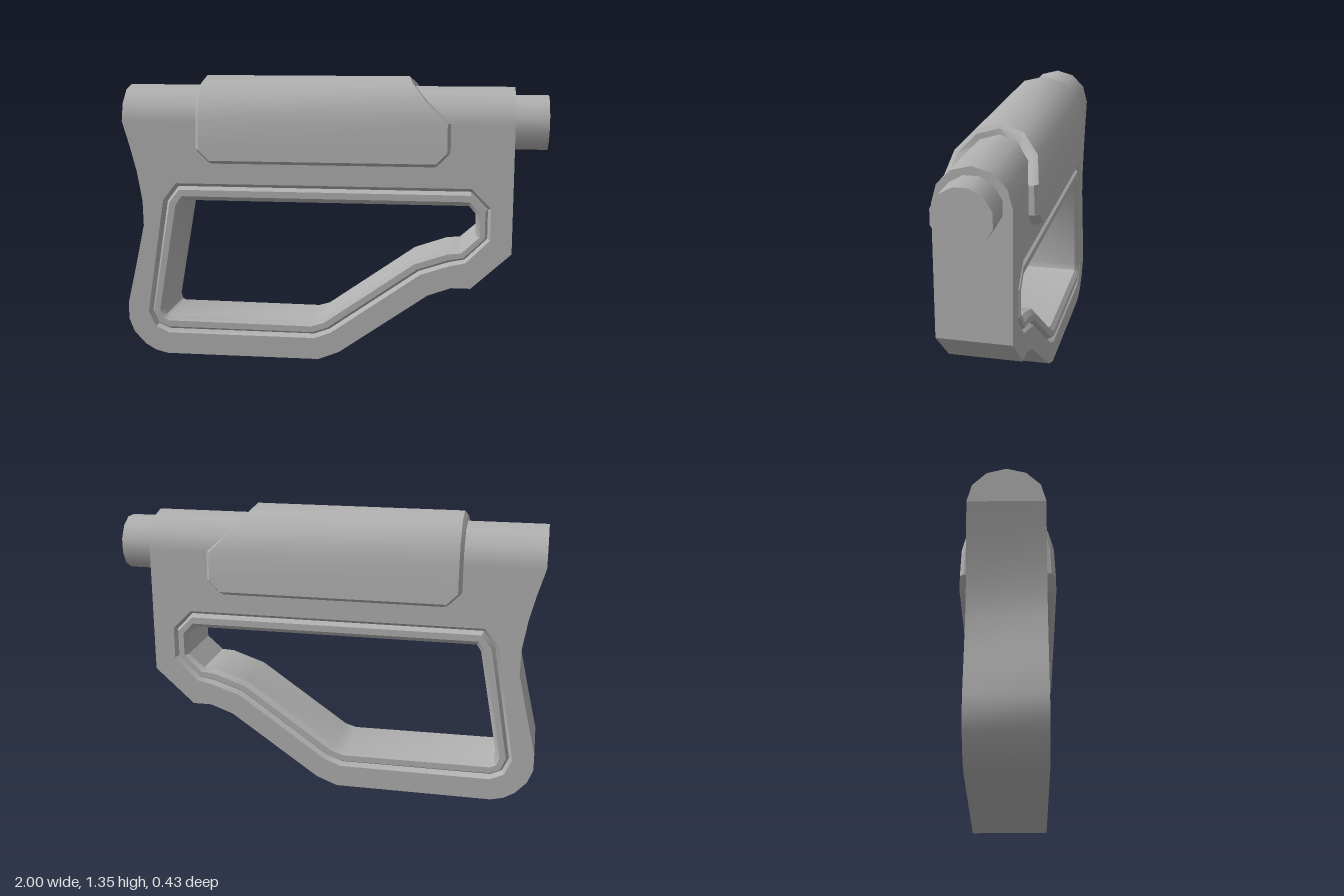
import * as THREE from 'three';
import { toCreasedNormals } from 'three/addons/utils/BufferGeometryUtils.js';

const HALF = 0.167; // half the body thickness
const AXIS = 1.14; // height of the barrel axis

// Surface through rows of [x, y, z] points; closed joins the last column to the first.
function loft(rows, closed, crease = 0.6) {
  const n = rows[0].length, index = [];
  for (let r = 0; r < rows.length - 1; r++) {
    for (let c = 0; c < (closed ? n : n - 1); c++) {
      const a = r * n + c, d = r * n + (c + 1) % n;
      index.push(a, a + n, d, a + n, d + n, d);
    }
  }
  const g = new THREE.BufferGeometry();
  g.setAttribute('position', new THREE.Float32BufferAttribute(rows.flat(2), 3));
  g.setIndex(index);
  return toCreasedNormals(g, crease);
}

const toVectors = (pts) => pts.map(([x, y]) => new THREE.Vector2(x, y));

export function createModel() {
  const group = new THREE.Group();
  const grey = new THREE.MeshStandardMaterial({ color: 0xb0b0b0 });
  grey.name = 'grey';
  const add = (name, geometry) => {
    const mesh = new THREE.Mesh(geometry, grey);
    mesh.name = name;
    group.add(mesh);
    return mesh;
  };

  // Side silhouette of the handle
  const silhouette = [
    [-1, AXIS], [-0.965, 1.02], [-0.935, 0.9], [-0.912, 0.76], [-0.91, 0.64],
    [-0.955, 0.44], [-1, 0.25], [-1, 0.17], [-0.975, 0.105], [-0.92, 0.045],
    [-0.87, 0.015], [-0.81, 0], [-0.06, 0], [0.04, 0.04], [0.46, 0.335],
    [0.57, 0.375], [0.66, 0.375], [0.845, 0.545], [0.845, AXIS],
  ];
  // Outer edge of the groove and edge of the opening, corner by corner
  const outer = [
    [-0.745, 0.848], [0.655, 0.848], [0.745, 0.757], [0.745, 0.608],
    [0.635, 0.497], [0.56, 0.48], [0.425, 0.435], [0.0, 0.135], [-0.08, 0.105],
    [-0.8, 0.105], [-0.865, 0.135], [-0.9, 0.21], [-0.81, 0.765],
  ];
  const inner = [
    [-0.71, 0.765], [0.645, 0.765], [0.68, 0.725], [0.68, 0.625],
    [0.605, 0.558], [0.545, 0.555], [0.385, 0.5], [-0.045, 0.198], [-0.1, 0.182],
    [-0.8, 0.187], [-0.815, 0.195], [-0.823, 0.225], [-0.73, 0.735],
  ];

  const shape = new THREE.Shape(toVectors(silhouette));
  shape.holes.push(new THREE.Path(toVectors(outer)));
  const body = new THREE.ExtrudeGeometry(shape, { depth: HALF * 2, bevelEnabled: false });
  body.translate(0, 0, -HALF);
  add('handleBody', toCreasedNormals(body, 0.5));

  // Grooved rim that lines the opening: [step from outer to inner, z]
  const front = [[0, HALF], [0.2, 0.142], [0.38, HALF], [0.75, HALF], [1, 0.147]];
  const back = front.map(([t, z]) => [t, -z]).reverse();
  const rim = [...front, ...back].map(([t, z]) => outer.map(([x, y], i) => [
    x + (inner[i][0] - x) * t, y + (inner[i][1] - y) * t, z,
  ]));
  add('openingRim', loft(rim, true));

  // Rounded top of the body
  const cap = new THREE.CylinderGeometry(HALF, HALF, 1.845, 6, 1, false, Math.PI, Math.PI);
  cap.rotateZ(-Math.PI / 2);
  add('roundedTop', cap).position.set(-0.0775, AXIS, 0);

  // Pin at the end
  const R = 0.129;
  const pin = new THREE.CylinderGeometry(R, R, 0.2, 12, 1, false, Math.PI / 12);
  pin.rotateZ(-Math.PI / 2);
  add('endPin', pin).position.set(0.9, 1.143, 0);

  // Cover wrapped over the top: z, y, left end, right end, inner z, inner y
  const half = [
    [0.15, 0.95, -0.57, 0.49, 0.15, 0.95],
    [0.2, 0.95, -0.57, 0.49, 0.15, 0.95],
    [0.217, 0.965, -0.585, 0.505, 0.15, 0.965],
    [0.214, 1.015, -0.635, 0.555, 0.15, 1.015],
    [0.208, 1.15, -0.635, 0.555, 0.15, 1.14],
    [0.183, 1.248, -0.635, 0.455, 0.13, 1.215],
    [0.107, 1.325, -0.635, 0.39, 0.075, 1.27],
    [0, 1.353, -0.635, 0.37, 0, 1.29],
  ];
  const mirrored = half.slice(0, -1).reverse();
  const stations = [
    ...half.map(([z, y, l, r, iz, iy]) => [-z, y, l, r, -iz, iy]), ...mirrored,
  ];
  const cover = stations.map(([z, y, l, r, iz, iy]) => {
    // Shoulder of the chamfer, a third of the way down to the body
    const sz = z + (iz - z) * 0.3, sy = y + (iy - y) * 0.3;
    return [
      [l, iy, iz], [l, sy, sz], [l + 0.015, y, z],
      [r - 0.015, y, z], [r, sy, sz], [r, iy, iz],
    ];
  });
  add('topCover', loft(cover, false));

  return group;
}
